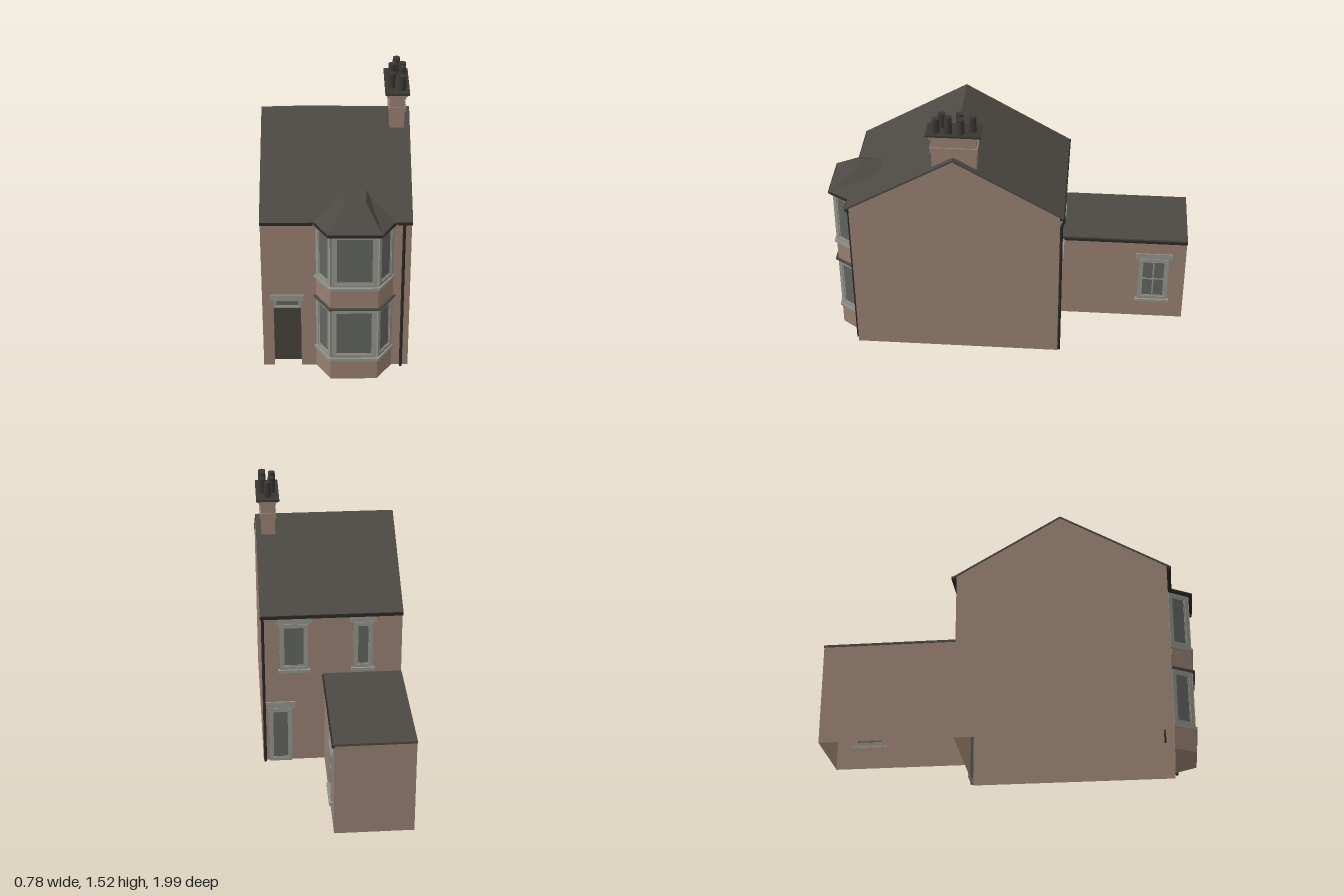
import * as THREE from 'three';

const mat = (name, color, side = THREE.FrontSide) => {
  const m = new THREE.MeshStandardMaterial({ color, side });
  m.name = name;
  return m;
};

export function createModel() {
  const house = new THREE.Group();
  house.name = 'terracedHouse';
  const brick = mat('brick', 0x967f70, THREE.DoubleSide);
  const slate = mat('slate', 0x4c4843, THREE.DoubleSide);
  const stone = mat('stone', 0x92928a);
  const glass = mat('glass', 0x60635e);
  const doorPaint = mat('doorPaint', 0x46423a);
  const iron = mat('iron', 0x2b2825);
  const clay = mat('clay', 0x3a3733);

  const add = (name, geo, material, parent = house) => {
    const m = new THREE.Mesh(geo, material);
    m.name = name;
    parent.add(m);
    return m;
  };
  // Box given by its limits on each axis
  const box = (name, [x0, x1], [y0, y1], [z0, z1], material, parent) => {
    const g = new THREE.BoxGeometry(x1 - x0, y1 - y0, z1 - z0);
    g.translate((x0 + x1) / 2, (y0 + y1) / 2, (z0 + z1) / 2);
    return add(name, g, material, parent);
  };
  const shape = pts => new THREE.Shape(pts.map(p => new THREE.Vector2(...p)));
  // Flat outline in (x, z) raised from y0 to y1
  const prism = (name, pts, y0, y1, material) => {
    const g = new THREE.ExtrudeGeometry(shape(pts.map(([x, z]) => [x, -z])), { depth: y1 - y0, bevelEnabled: false });
    g.rotateX(-Math.PI / 2).translate(0, y0, 0);
    return add(name, g, material);
  };
  // Rectangular ring centred on the origin, facing +z
  const ring = (w, h, border, depth) => {
    const s = shape([[-w / 2, -h / 2], [w / 2, -h / 2], [w / 2, h / 2], [-w / 2, h / 2]]);
    const a = w / 2 - border, b = h / 2 - border;
    s.holes.push(new THREE.Path([[-a, -b], [-a, b], [a, b], [a, -b]].map(p => new THREE.Vector2(...p))));
    return new THREE.ExtrudeGeometry(s, { depth, bevelEnabled: false });
  };
  // Window on a wall: outer frame, sash, glass, optional lintel, sill and bars
  const windowUnit = (name, w, h, [x, y, z], angle, { border = 0.018, trim = false, bars = false } = {}) => {
    const g = new THREE.Group();
    g.name = name;
    add('frame', ring(w, h, border, 0.01), stone, g);
    const w2 = w - 2 * border, h2 = h - 2 * border;
    add('sash', ring(w2, h2, 0.007, 0.006), stone, g);
    box('pane', [-w2 / 2, w2 / 2], [-h2 / 2, h2 / 2], [-0.002, 0.003], glass, g);
    if (trim) {
      box('lintel', [-w / 2 - 0.02, w / 2 + 0.02], [h / 2, h / 2 + 0.035], [-0.002, 0.006], stone, g);
      box('sill', [-w / 2 - 0.012, w / 2 + 0.012], [-h / 2 - 0.017, -h / 2], [-0.002, 0.02], stone, g);
    }
    if (bars) {
      box('bar', [-0.004, 0.004], [-h2 / 2, h2 / 2], [0, 0.006], stone, g);
      box('bar', [-w2 / 2, w2 / 2], [-0.004, 0.004], [0, 0.006], stone, g);
    }
    g.position.set(x, y, z);
    g.rotation.y = angle;
    house.add(g);
  };

  const L = -0.388, R = 0.384, F = 0.855, B = -0.285, eave = 0.935, ridge = 1.268, ridgeZ = 0.285;

  // Main walls, hollow and open below
  const gable = [[B, 0], [F, 0], [F, eave], [ridgeZ, ridge], [B, eave]];
  for (const x of [L, R]) {
    add('gableWall', new THREE.ShapeGeometry(shape(gable)).rotateY(-Math.PI / 2).translate(x, 0, 0), brick);
  }
  const frontOutline = [[L, 0], [-0.33, 0], [-0.33, 0.435], [-0.185, 0.435], [-0.185, 0], [R, 0], [R, eave], [L, eave]];
  add('frontWall', new THREE.ShapeGeometry(shape(frontOutline)).translate(0, 0, F), brick);
  add('backWall', new THREE.PlaneGeometry(R - L, eave).rotateY(Math.PI).translate((L + R) / 2, eave / 2, B), brick);

  // Main roof
  const roofProfile = [[0.875, 0.924], [0.875, 0.936], [ridgeZ, 1.277], [-0.305, 0.936], [-0.305, 0.924], [ridgeZ, 1.265]];
  add('mainRoof', new THREE.ExtrudeGeometry(shape(roofProfile), { depth: 0.777, bevelEnabled: false })
    .rotateY(-Math.PI / 2).translate(0.387, 0, 0), slate);

  // Recessed front door
  const recess = F - 0.045;
  for (const x of [-0.33, -0.185]) {
    add('doorJamb', new THREE.PlaneGeometry(0.045, 0.435).rotateY(Math.PI / 2).translate(x, 0.2175, F - 0.0225), brick);
  }
  add('doorSoffit', new THREE.PlaneGeometry(0.145, 0.045).rotateX(Math.PI / 2).translate(-0.2575, 0.435, F - 0.0225), brick);
  box('frontDoor', [-0.33, -0.185], [0, 0.355], [recess - 0.01, recess], doorPaint);
  box('transomBacking', [-0.33, -0.185], [0.355, 0.435], [recess - 0.01, recess - 0.003], stone);
  windowUnit('transomWindow', 0.145, 0.08, [-0.2575, 0.395, recess], 0, { border: 0.008 });
  box('doorLintel', [-0.345, -0.17], [0.435, 0.47], [F - 0.01, F + 0.007], stone);

  // Two-storey bay
  const bay = o => [[-0.105 - o, F], [-0.03 - o * 0.6, 0.97 + o], [0.215 + o * 0.6, 0.97 + o], [0.295 + o, F]];
  prism('bayBase', bay(0), 0, 0.125, brick);
  prism('bayBand', bay(0), 0.47, 0.585, brick);
  prism('bayCornice', bay(0.014), 0.46, 0.47, slate);
  for (const [y0, y1] of [[0.14, 0.46], [0.6, 0.922]]) {
    prism('baySill', bay(0.01), y0 - 0.017, y0, stone);
    prism('bayWindowCore', bay(-0.01), y0, y1, stone);
    const pts = bay(-0.008);
    for (let i = 0; i < 3; i++) {
      const [ax, az] = pts[i], [bx, bz] = pts[i + 1];
      const angle = Math.atan2(az - bz, bx - ax);
      const width = Math.hypot(bx - ax, bz - az);
      windowUnit('bayWindow', width, y1 - y0 - 0.004, [(ax + bx) / 2, (y0 + y1) / 2, (az + bz) / 2], angle, { border: 0.02 });
    }
  }
  prism('bayGutter', bay(0.022), 0.92, 0.936, iron);

  // Bay roof: flat top with three hips that die into the main slope
  const low = [[-0.12, 0.934, 0.865], [-0.045, 0.934, 0.992], [0.232, 0.934, 0.992], [0.31, 0.934, 0.865]];
  const high = [[0.035, 1.03, 0.69], [0.04, 1.03, 0.84], [0.15, 1.03, 0.84], [0.155, 1.03, 0.69]];
  const tri = [];
  const quad = (a, b, c, d) => tri.push(...a, ...b, ...c, ...a, ...c, ...d);
  for (let i = 0; i < 3; i++) quad(low[i], low[i + 1], high[i + 1], high[i]);
  quad(high[0], high[1], high[2], high[3]);
  const bayRoof = new THREE.BufferGeometry();
  bayRoof.setAttribute('position', new THREE.Float32BufferAttribute(tri, 3));
  bayRoof.computeVertexNormals();
  add('bayRoof', bayRoof, slate);

  // Gutters and downpipes
  box('frontGutter', [-0.39, -0.12], [0.918, 0.936], [F, 0.878], iron);
  box('frontGutter', [0.31, 0.387], [0.918, 0.936], [F, 0.878], iron);
  box('backGutter', [-0.39, 0.387], [0.918, 0.936], [-0.312, B], iron);
  const pipe = (x, z, topZ) => {
    const pts = [[z, 0], [z, 0.4], [z, 0.84], [z, 0.87], [topZ, 0.9], [topZ, 0.925]];
    const curve = new THREE.CatmullRomCurve3(pts.map(([pz, y]) => new THREE.Vector3(x, y, pz)), false, 'centripetal');
    add('downpipe', new THREE.TubeGeometry(curve, 40, 0.008, 8), iron);
  };
  pipe(0.345, 0.864, 0.872);
  pipe(0.374, -0.294, -0.306);

  // Back windows and back door
  windowUnit('backWindowLarge', 0.155, 0.28, [0.205, 0.735, B], Math.PI, { trim: true });
  windowUnit('backWindowSmall', 0.105, 0.28, [-0.175, 0.735, B], Math.PI, { trim: true });
  windowUnit('backDoor', 0.13, 0.345, [0.285, 0.1725, B], Math.PI);
  box('backDoorLintel', [0.2, 0.37], [0.345, 0.385], [B - 0.008, B], stone);

  // Rear extension
  const extX = 0.038, extH = 0.545, extBack = -0.998, extLen = B - extBack;
  for (const x of [L, extX]) {
    add('extensionSideWall', new THREE.PlaneGeometry(extLen, extH).rotateY(x > 0 ? Math.PI / 2 : -Math.PI / 2)
      .translate(x, extH / 2, (B + extBack) / 2), brick);
  }
  add('extensionBackWall', new THREE.PlaneGeometry(extX - L, extH).rotateY(Math.PI)
    .translate((extX + L) / 2, extH / 2, extBack), brick);
  box('extensionRoof', [-0.39, 0.043], [0.545, 0.558], [-1, B], slate);
  box('extensionGutter', [extX, 0.05], [0.535, 0.55], [-1, B], iron);
  windowUnit('extensionWindow', 0.17, 0.285, [extX, 0.278, -0.818], Math.PI / 2, { trim: true, bars: true });

  // Chimney with stepped bands and pots
  const band = (name, o, y0, y1, m) => box(name, [0.28 - o, 0.357 + o], [y0, y1], [0.16 - o, 0.398 + o], m);
  band('chimneyStack', 0, 1.17, 1.41, brick);
  band('chimneyBand', 0.007, 1.305, 1.335, brick);
  band('chimneyBand', 0.008, 1.385, 1.4, brick);
  band('chimneyBand', 0.014, 1.4, 1.412, brick);
  band('chimneyCap', 0.025, 1.412, 1.424, clay);
  const pots = [[0.32, 0.18, 1.51], [0.348, 0.24, 1.51], [0.295, 0.25, 1.51], [0.345, 0.305, 1.52], [0.29, 0.345, 1.505], [0.343, 0.372, 1.505]];
  for (const [x, z, top] of pots) {
    add('chimneyPot', new THREE.CylinderGeometry(0.019, 0.021, top - 1.42, 12).translate(x, (top + 1.42) / 2, z), clay);
  }
  return house;
}
